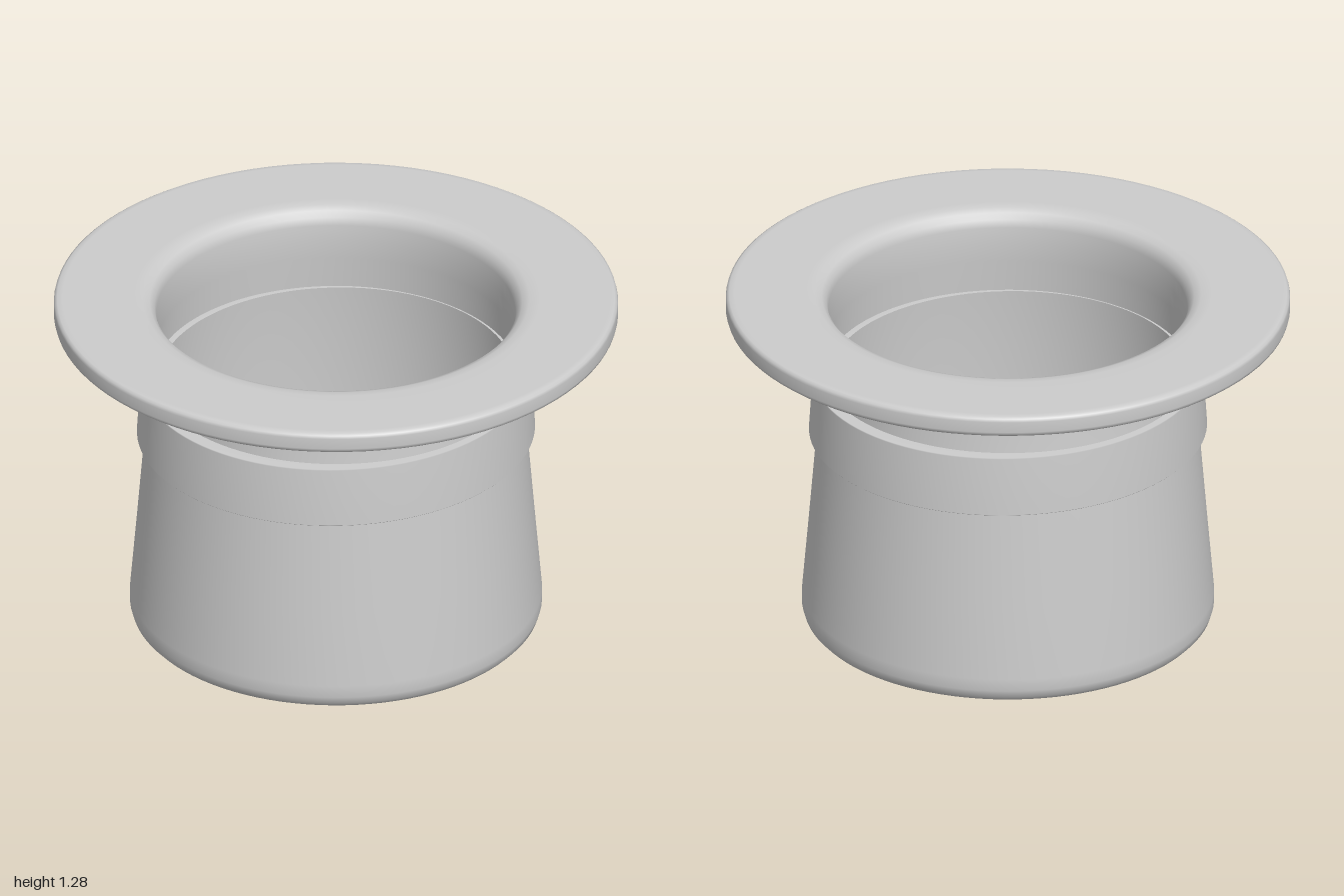
import * as THREE from 'three';

const material = new THREE.MeshStandardMaterial({ color: 0xcccccc });

// Turn a [radius, height] profile around y; the profile runs counter-clockwise
function turned(name, profile) {
  const points = profile.map(([r, y]) => new THREE.Vector2(r, y));
  const mesh = new THREE.Mesh(new THREE.LatheGeometry(points, 96), material);
  mesh.name = name;
  return mesh;
}

export function createModel() {
  const hat = new THREE.Group();
  hat.name = 'upturnedTopHat';

  // Slightly domed crown and tapering outer wall
  const outside = [
    [0, 0], [0.35, 0.002], [0.6, 0.009], [0.68, 0.013], [0.705, 0.02],
    [0.722, 0.038], [0.73, 0.065], [0.73, 0.11], [0.705, 0.4], [0.676, 0.75],
    [0.655, 0.97], [0.643, 1.09], [0.641, 1.15], [0.646, 1.178],
    [0.66, 1.194], [0.69, 1.2], [0.72, 1.201],
  ];
  // Flat brim with a small rounded rim
  const brim = [
    [0.97, 1.202], [0.988, 1.204], [0.997, 1.211], [1, 1.222],
    [1, 1.262], [0.997, 1.273], [0.988, 1.279], [0.97, 1.281],
    [0.72, 1.281], [0.685, 1.278], [0.66, 1.268], [0.643, 1.248], [0.636, 1.22],
  ];
  // Hollow inside with a bowl-shaped floor
  const inside = [
    [0.634, 1.16], [0.634, 1.09], [0.645, 0.97], [0.655, 0.75], [0.66, 0.45],
    [0.65, 0.3], [0.62, 0.19], [0.57, 0.12], [0.5, 0.08], [0.4, 0.062],
    [0.2, 0.055], [0, 0.055],
  ];
  hat.add(turned('hatBody', [...outside, ...brim, ...inside]));

  // Ribbon band, a little wider front to back than side to side
  const band = turned('hatBand', [
    [0.66, 0.75], [0.717, 0.75], [0.72, 0.753],
    [0.706, 0.967], [0.703, 0.97], [0.64, 0.97],
  ]);
  band.scale.x = 0.97;
  hat.add(band);

  return hat;
}
